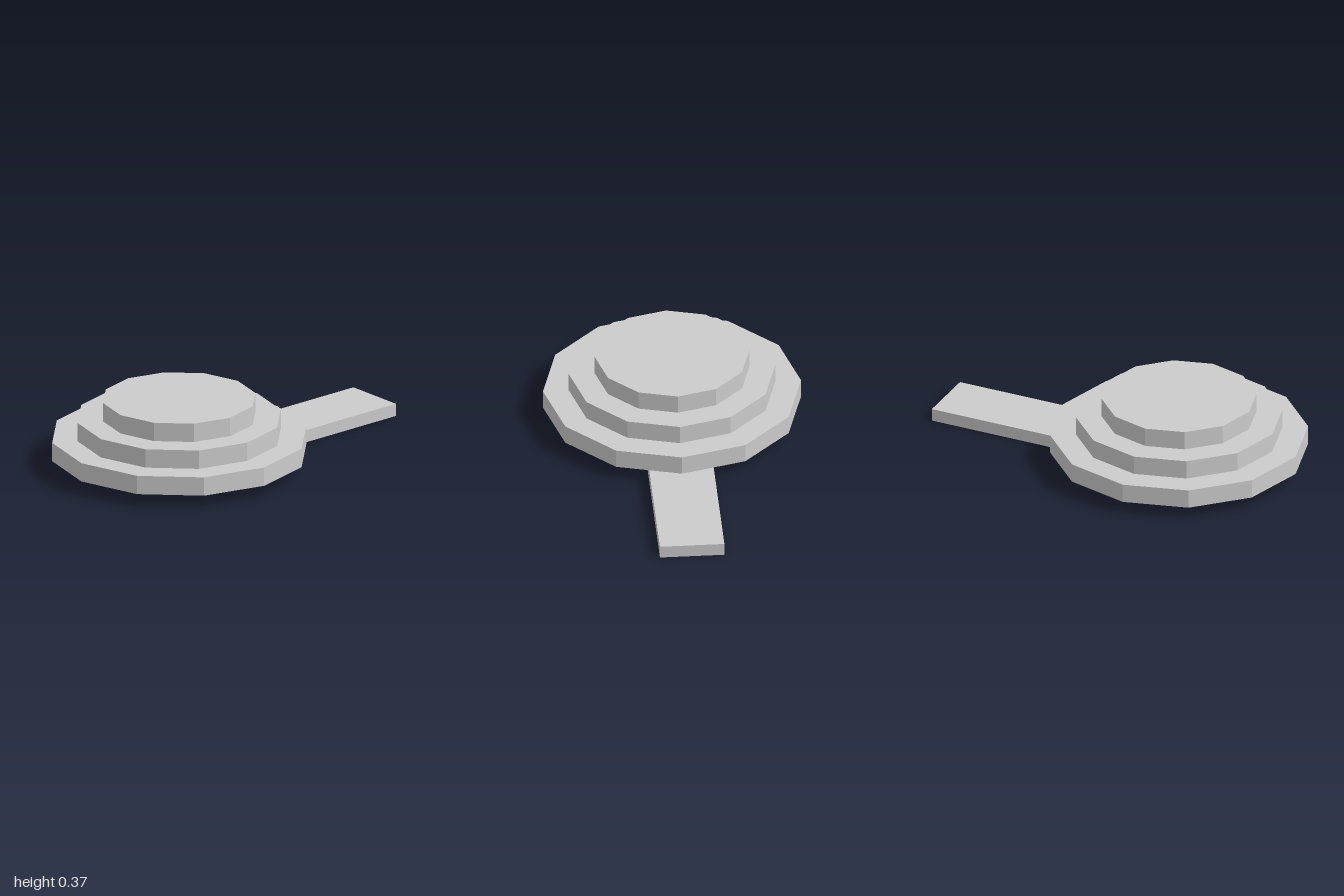
import * as THREE from 'three';

export function createModel() {
  const model = new THREE.Group();
  const grey = new THREE.MeshStandardMaterial({ color: 0xcccccc });
  grey.name = 'light grey';
  grey.flatShading = true;

  const add = (name, geometry, x, y, z) => {
    const mesh = new THREE.Mesh(geometry, grey);
    mesh.name = name;
    mesh.position.set(x, y, z);
    model.add(mesh);
  };

  // Flat handle under the disc, reaching to its centre line
  const handleHeight = 1 / 15;
  add('handle', new THREE.BoxGeometry(1, handleHeight, 1 / 3), 0.5, handleHeight / 2, 0);

  // Three stacked twelve-sided tiers, shrinking upwards
  const tierHeight = 0.1;
  const names = ['lowerTier', 'middleTier', 'upperTier'];
  names.forEach((name, i) => {
    const radius = 2 / 3 - i * (2 / 15);
    const y = handleHeight + (i + 0.5) * tierHeight;
    add(name, new THREE.CylinderGeometry(radius, radius, tierHeight, 12), -1 / 3, y, 0);
  });

  return model;
}
